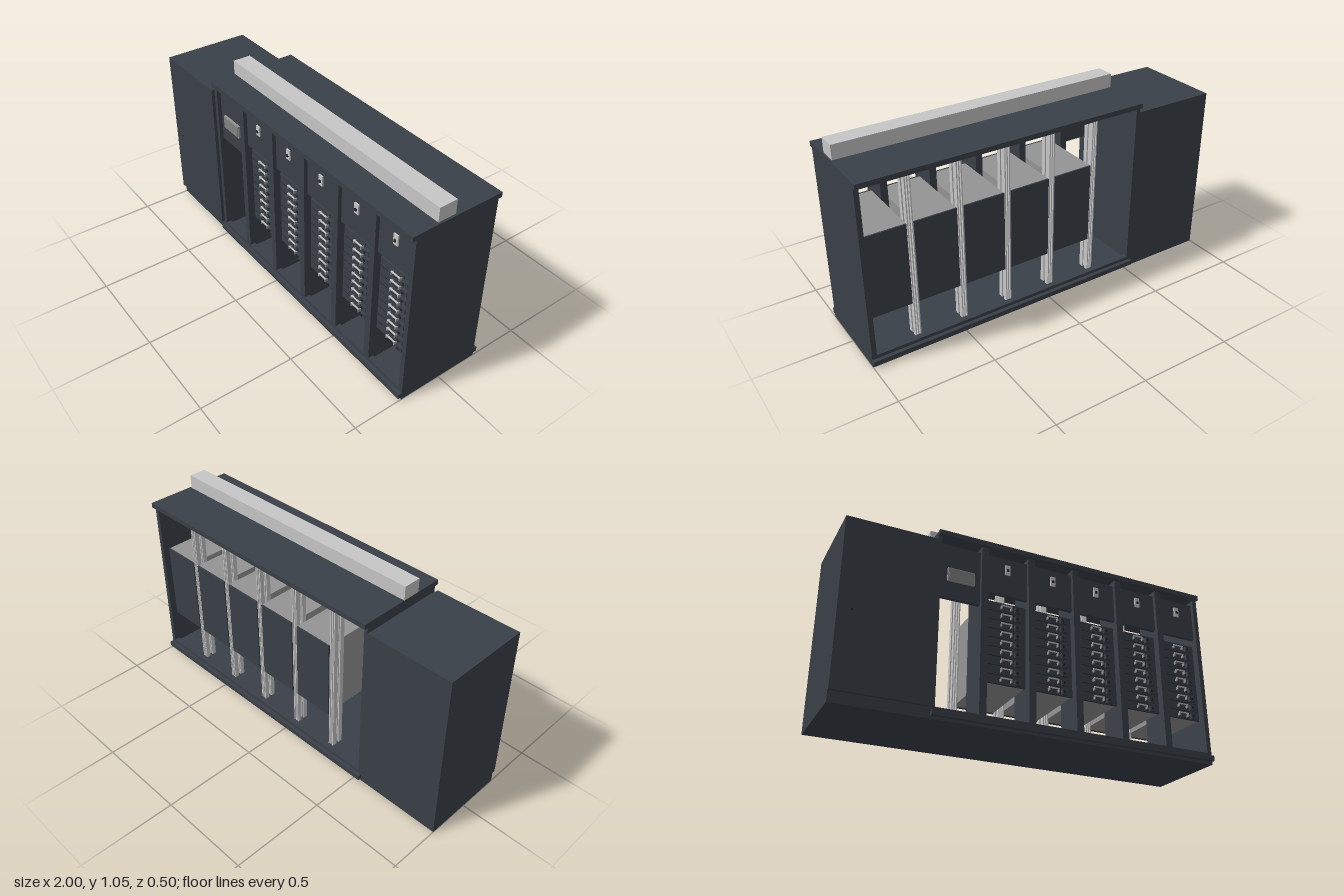
import * as THREE from 'three';

const mat = (name, color) => {
  const m = new THREE.MeshStandardMaterial({ color });
  m.name = name;
  return m;
};

export function createModel() {
  const steel = mat('dark steel', 0x3a4048);
  const grey = mat('module grey', 0x949494);
  const pale = mat('pale metal', 0xc6c6c6);
  const screenGrey = mat('screen grey', 0x7f8583);
  const black = mat('black', 0x1e2226);
  const model = new THREE.Group();
  model.name = 'switchgearCabinet';

  // Box given by its limits on each axis
  const box = (parent, name, m, x0, x1, y0, y1, z0, z1) => {
    const mesh = new THREE.Mesh(new THREE.BoxGeometry(x1 - x0, y1 - y0, z1 - z0), m);
    mesh.position.set((x0 + x1) / 2, (y0 + y1) / 2, (z0 + z1) / 2);
    mesh.name = name;
    parent.add(mesh);
    return mesh;
  };
  const group = (name) => {
    const g = new THREE.Group();
    g.name = name;
    model.add(g);
    return g;
  };

  // Closed side cabinet with door
  const cabinet = group('sideCabinet');
  box(cabinet, 'cabinetBody', steel, -1, -0.54, 0, 0.92, -0.23, 0.23);
  box(cabinet, 'cabinetDoor', steel, -1, -0.545, 0.055, 0.92, 0.23, 0.247);
  box(cabinet, 'doorLatch', black, -0.938, -0.928, 0.44, 0.448, 0.247, 0.25);

  // Open frame: floor, roof, end walls and projecting base rails
  const frame = group('frame');
  box(frame, 'floor', steel, -0.54, 0.975, 0, 0.045, -0.23, 0.23);
  box(frame, 'roof', steel, -0.54, 1, 0.95, 0.976, -0.25, 0.25);
  box(frame, 'endWall', steel, 0.975, 1, 0, 0.95, -0.23, 0.23);
  box(frame, 'innerWall', steel, -0.54, -0.52, 0.045, 0.95, -0.23, 0.23);
  for (const s of [-1, 1]) {
    const z = [s * 0.23, s * 0.25].sort((a, b) => a - b);
    box(frame, 'baseRail', steel, -0.54, 1, 0.015, 0.042, z[0], z[1]);
    const t = [s * 0.2, s * 0.23].sort((a, b) => a - b);
    box(frame, 'floorLip', steel, -0.52, 0.975, 0.045, 0.06, t[0], t[1]);
  }

  // Cable duct on the roof
  box(model, 'roofDuct', pale, -0.54, 0.99, 0.976, 1.05, 0.01, 0.107);

  // Control bay with display
  const control = group('controlBay');
  box(control, 'controlPanel', steel, -0.52, -0.305, 0.63, 0.925, 0.19, 0.21);
  box(control, 'displayFrame', grey, -0.48, -0.34, 0.722, 0.792, 0.21, 0.222);
  box(control, 'displayScreen', screenGrey, -0.475, -0.345, 0.727, 0.787, 0.222, 0.225);

  // Five equal breaker bays
  const pitch = 0.257;
  for (let i = 0; i < 5; i++) {
    const c = -0.16 + i * pitch;
    const l = c - 0.11, r = i === 4 ? 0.975 : c + 0.11;
    const bay = group('breakerBay' + (i + 1));

    // Divider post and vertical busbars behind it
    box(bay, 'dividerPost', steel, l - 0.037, l, 0.045, 0.95, 0.07, 0.23);
    for (const dx of [-0.032, -0.02, -0.008]) {
      box(bay, 'busbar', pale, l + dx - 0.003, l + dx + 0.003, 0.045, 0.94, -0.19, -0.165);
      box(bay, 'busbar', pale, l + dx - 0.003, l + dx + 0.003, 0.045, 0.94, -0.15, -0.125);
    }

    // Upper panel with switch
    box(bay, 'upperPanel', steel, l, r, 0.715, 0.925, 0.19, 0.21);
    box(bay, 'switchPlate', pale, c - 0.014, c + 0.014, 0.832, 0.886, 0.21, 0.218);
    box(bay, 'switchKnob', black, c - 0.006, c + 0.005, 0.85, 0.862, 0.218, 0.224);

    // Grey module with dark front and back covers
    box(bay, 'moduleBody', grey, l, r, 0.25, 0.68, -0.185, 0.18);
    box(bay, 'moduleFront', steel, l, r, 0.245, 0.68, 0.18, 0.19);
    box(bay, 'moduleBack', steel, l, r, 0.245, 0.68, -0.193, -0.185);

    // Drawers: pull handle and operator block in each row
    for (let k = 0; k < 9; k++) {
      const y = 0.663 - k * 0.0485;
      const h0 = c - 0.027, h1 = c + 0.031;
      box(bay, 'handleGrip', pale, h0, h1, y - 0.005, y, 0.2, 0.207);
      for (const x of [h0, h1 - 0.005]) {
        box(bay, 'handleLeg', grey, x, x + 0.005, y - 0.02, y - 0.005, 0.19, 0.207);
      }
      box(bay, 'drawerSeam', black, l + 0.005, c + 0.04, y - 0.034, y - 0.032, 0.19, 0.191);
      box(bay, 'operatorBlock', steel, c + 0.047, c + 0.08, y - 0.028, y, 0.19, 0.207);
      box(bay, 'operatorButton', black, c + 0.052, c + 0.062, y - 0.019, y - 0.009, 0.207, 0.211);
    }
    box(bay, 'frontSeam', black, c + 0.041, c + 0.043, 0.25, 0.68, 0.19, 0.191);
  }
  return model;
}
